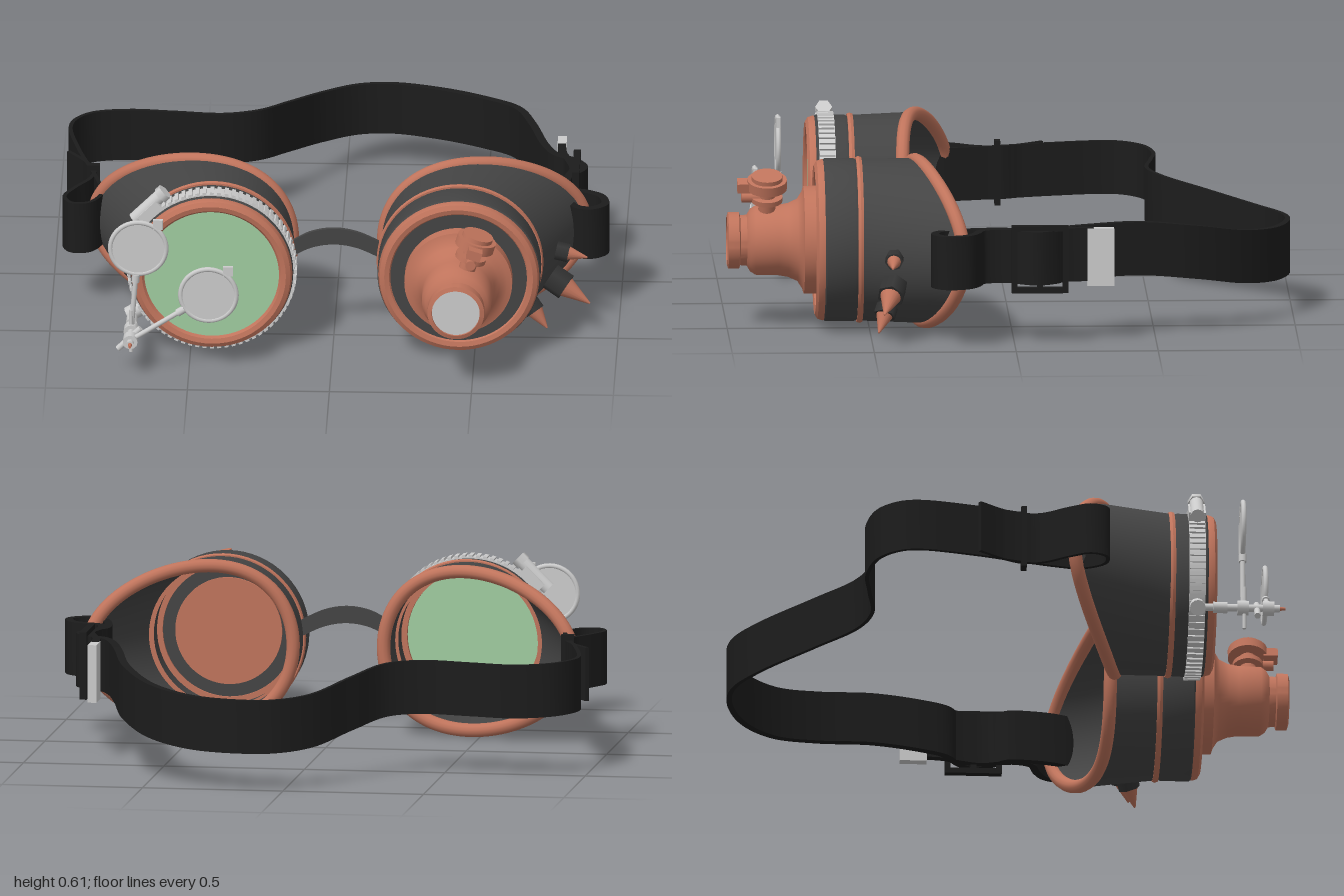
import * as THREE from 'three';
import { toCreasedNormals } from 'three/addons/utils/BufferGeometryUtils.js';

const V = (x, y, z) => new THREE.Vector3(x, y, z);
const mat = (color) => new THREE.MeshStandardMaterial({ color, side: THREE.DoubleSide });
const COPPER = mat(0xc0745c), LEATHER = mat(0x444444), STRAP = mat(0x1c1c1c);
const GLASS = mat(0xa0cda0), METAL = mat(0xcccccc), DARK = mat(0x333333);
const CY = 0.315; // height of the lens axis

function add(parent, name, geo, material, pos) {
  const m = new THREE.Mesh(geo, material);
  m.name = name;
  if (pos) m.position.copy(pos);
  parent.add(m);
  return m;
}

// turned part around the z axis; points are [radius, z]
function turned(points, segs = 64) {
  const g = new THREE.LatheGeometry(points.map(([r, z]) => new THREE.Vector2(r, z)), segs);
  return toCreasedNormals(g.rotateX(Math.PI / 2), 0.6);
}

// cylinder along z
const disc = (r, h, segs = 48) => new THREE.CylinderGeometry(r, r, h, segs).rotateX(Math.PI / 2);

// cylinder or cone between two points
function rod(parent, name, a, b, r0, r1, material, segs = 12) {
  const d = b.clone().sub(a);
  const m = add(parent, name, new THREE.CylinderGeometry(r1, r0, d.length(), segs), material,
    a.clone().add(b).multiplyScalar(0.5));
  m.quaternion.setFromUnitVectors(V(0, 1, 0), d.normalize());
  return m;
}

// skin over closed cross-sections
function loft(rings, capped, crease = 0.6) {
  const n = rings[0].length, idx = [];
  for (let i = 0; i < rings.length - 1; i++)
    for (let j = 0; j < n; j++) {
      const a = i * n + j, b = i * n + (j + 1) % n;
      idx.push(a, b, a + n, b, b + n, a + n);
    }
  if (capped) {
    const e = (rings.length - 1) * n;
    for (let j = 1; j < n - 1; j++) idx.push(0, j + 1, j, e, e + j, e + j + 1);
  }
  const g = new THREE.BufferGeometry().setFromPoints(rings.flat());
  g.setIndex(idx);
  return toCreasedNormals(g, crease);
}

// upright band following a path
function ribbon(points, height, thickness, steps) {
  const curve = new THREE.CatmullRomCurve3(points);
  const rings = [];
  for (let i = 0; i <= steps; i++) {
    const u = i / steps, p = curve.getPointAt(u), t = curve.getTangentAt(u);
    const side = V(-t.z, 0, t.x).normalize().multiplyScalar(thickness(p) / 2);
    const up = V(0, height / 2, 0);
    rings.push([
      p.clone().add(side).add(up), p.clone().sub(side).add(up),
      p.clone().sub(side).sub(up), p.clone().add(side).sub(up)]);
  }
  return loft(rings, true);
}

// egg-shaped face rim, swept back towards the temple
function rimPoint(a, s, inset = 0) {
  const t = s * a, c = Math.cos(t), sn = Math.sin(t);
  const x = 0.0775 + (0.3575 - inset) * c - 0.05 * sn * sn;
  return V(s * x, (0.288 - inset) * sn, 0.36 - 0.195 * ((x + 0.3) / 0.755) ** 2);
}

// leather cup, barrel and copper rings shared by both eyes
function eyecup(name, s) {
  const g = new THREE.Group();
  g.name = name;
  g.position.set(0.01 + s * 0.435, CY, 0);
  const N = 72, circle = (r, z) => (a) => V(r * Math.cos(s * a) * s, r * Math.sin(s * a), z);
  const section = (f) => Array.from({ length: N }, (_, j) => f(j / N * Math.PI * 2));
  const front = circle(0.285, 0.54), back = circle(0.258, 0.54);
  const blend = (f, inset, k) => section((a) => f(a).lerp(rimPoint(a, s, inset), k));
  const K = [0, 0.25, 0.5, 0.75, 1];
  add(g, 'leatherCup', loft([
    ...K.map((k) => blend(front, 0, k)),
    ...K.slice().reverse().map((k) => blend(back, 0.022, k))], false), LEATHER);
  const rim = new THREE.CatmullRomCurve3(section((a) => rimPoint(a, s, 0.006)), true);
  add(g, 'paddedRim', new THREE.TubeGeometry(rim, 120, 0.024, 12, true), COPPER);
  add(g, 'seamRing', turned([[0.25, 0.525], [0.29, 0.525], [0.294, 0.535], [0.29, 0.545], [0.25, 0.545]]), COPPER);
  add(g, 'barrel', turned([[0.255, 0.54], [0.283, 0.545], [0.287, 0.555], [0.287, 0.655],
    [0.28, 0.663], [0.255, 0.663], [0.255, 0.54]]), LEATHER);
  add(g, 'frontRing', turned([[0.235, 0.65], [0.28, 0.65], [0.284, 0.665], [0.278, 0.683],
    [0.262, 0.692], [0.245, 0.688], [0.235, 0.675], [0.235, 0.65]]), COPPER);
  return g;
}

// ridged clamp and two swinging magnifiers
function magnifiers(parent) {
  const g = new THREE.Group();
  g.name = 'magnifierRig';
  parent.add(g);
  const cx = -0.425;
  add(g, 'clampBand', turned([[0.285, 0.592], [0.292, 0.592], [0.292, 0.65], [0.285, 0.65]]), METAL, V(cx, CY, 0));
  const teeth = 72;
  for (let i = 0; i < teeth; i++) {
    const a = i / teeth * Math.PI * 2;
    add(g, 'clampRidge', new THREE.BoxGeometry(0.01, 0.014, 0.056), METAL,
      V(cx + 0.294 * Math.cos(a), CY + 0.294 * Math.sin(a), 0.621)).rotation.z = a;
  }
  // worm-screw housing, tangent to the band
  const h = new THREE.Group();
  h.name = 'clampScrew';
  h.position.set(cx - 0.215, CY + 0.215, 0.621);
  h.rotation.z = Math.PI / 4;
  add(h, 'screwHousing', new THREE.BoxGeometry(0.09, 0.045, 0.06), METAL);
  add(h, 'screwBarrel', new THREE.CylinderGeometry(0.024, 0.024, 0.13, 16).rotateZ(Math.PI / 2), METAL, V(0, 0.018, 0));
  add(h, 'screwHead', new THREE.CylinderGeometry(0.03, 0.03, 0.025, 6).rotateZ(Math.PI / 2), METAL, V(0.075, 0.018, 0));
  g.add(h);
  // pivot post and bracket
  const px = -0.705, py = 0.14;
  rod(g, 'bracket', V(-0.655, 0.17, 0.621), V(px - 0.015, py - 0.01, 0.621), 0.028, 0.028, METAL);
  rod(g, 'pivotPost', V(px, py, 0.6), V(px, py, 0.91), 0.013, 0.013, METAL);
  rod(g, 'postTip', V(px, py, 0.905), V(px, py, 0.93), 0.008, 0.005, COPPER);
  for (const [z, r, l] of [[0.7, 0.02, 0.05], [0.78, 0.026, 0.04], [0.87, 0.026, 0.04]])
    add(g, 'pivotCollar', disc(r, l, 12), METAL, V(px, py, z));
  rod(g, 'wingNut', V(px - 0.045, py - 0.05, 0.83), V(px + 0.035, py + 0.03, 0.83), 0.011, 0.011, METAL);
  rod(g, 'stopPin', V(px, 0.06, 0.785), V(px, 0.22, 0.785), 0.007, 0.007, METAL);
  // lenses on their arms
  for (const [x, y, z] of [[-0.68, 0.455, 0.78], [-0.43, 0.318, 0.87]]) {
    const c = V(x, y, z), p = V(px, py, z), d = c.clone().sub(p).normalize();
    add(g, 'magnifierLens', disc(0.096, 0.012), METAL, c);
    add(g, 'magnifierRim', new THREE.TorusGeometry(0.098, 0.009, 8, 48), METAL, c);
    const edge = c.clone().addScaledVector(d, -0.1);
    rod(g, 'magnifierArm', p, edge, 0.009, 0.009, METAL);
    rod(g, 'armSocket', edge.clone().addScaledVector(d, -0.03), edge, 0.014, 0.014, METAL);
    add(g, 'rimTab', new THREE.BoxGeometry(0.035, 0.035, 0.015), METAL, c.clone().addScaledVector(V(0.6, 0.8, 0), 0.115));
  }
}

// copper scope with valve
function scope(parent) {
  const g = new THREE.Group();
  g.name = 'scope';
  g.position.set(0.445, CY, 0);
  parent.add(g);
  add(g, 'facePlate', turned([[0.15, 0.66], [0.245, 0.66], [0.245, 0.682], [0.15, 0.682]]), LEATHER);
  add(g, 'scopeBody', turned([[0, 0.65], [0.19, 0.65], [0.19, 0.73], [0.172, 0.735], [0.145, 0.752],
    [0.13, 0.785], [0.124, 0.82], [0.122, 0.9], [0.11, 0.918], [0.09, 0.93], [0.088, 0.953], [0.1, 0.957],
    [0.1, 0.995], [0.085, 1.0], [0.085, 0.985], [0, 0.985]]), COPPER);
  add(g, 'scopeLens', disc(0.084, 0.012), METAL, V(0, 0, 0.988));
  const v = new THREE.Group();
  v.name = 'valve';
  v.position.z = 0.86;
  v.rotation.z = -0.3;
  for (const [name, r, h, y] of [['valveStem', 0.03, 0.12, 0.15], ['valveFlange', 0.055, 0.018, 0.165],
    ['valveWheel', 0.07, 0.035, 0.222], ['valveCap', 0.055, 0.016, 0.247]])
    add(v, name, new THREE.CylinderGeometry(r, r, h, 24), COPPER, V(0, y, 0));
  add(v, 'valveHandle', new THREE.BoxGeometry(0.05, 0.035, 0.05), COPPER, V(0, 0.215, 0.08));
  add(v, 'valveOutlet', disc(0.018, 0.08, 12), COPPER, V(0, 0.17, 0.05));
  g.add(v);
}

export function createModel() {
  const model = new THREE.Group();
  model.name = 'goggles';

  const right = eyecup('rightEyecup', -1), left = eyecup('leftEyecup', 1);
  model.add(right, left);
  add(right, 'greenLens', disc(0.24, 0.012, 64), GLASS, V(0, 0, 0.672));
  magnifiers(model);
  scope(model);

  // spikes on hexagonal nuts
  for (const [b, t, r] of [
    [V(0.78, 0.31, 0.42), V(0.89, 0.288, 0.43), 0.025],
    [V(0.76, 0.21, 0.42), V(0.9, 0.125, 0.46), 0.038],
    [V(0.68, 0.125, 0.44), V(0.75, 0.035, 0.475), 0.03]]) {
    const at = (k) => b.clone().lerp(t, k);
    rod(model, 'spikeNut', at(0), at(0.4), r * 1.3, r * 1.3, DARK, 6);
    rod(model, 'spike', at(0.38), t, r, 0.003, COPPER, 16);
  }

  // nose bridge
  const arch = [[-0.16, 0.345], [-0.08, 0.388], [0, 0.402], [0.08, 0.39], [0.18, 0.345]];
  add(model, 'noseBridge', ribbon(arch.map(([x, y]) => V(x, y, 0.53)), 0.06, () => 0.014, 30), LEATHER);

  // head strap, looped through both cups; it sags at the back
  const path = [[-0.955, -0.16], [-0.89, -0.07], [-0.86, 0], [-0.87, 0.07], [-0.925, 0.16], [-0.957, 0.235],
    [-0.93, 0.29], [-0.87, 0.285], [-0.825, 0.2], [-0.835, 0.13], [-0.86, 0.03], [-0.92, -0.18], [-0.955, -0.37],
    [-0.94, -0.44], [-0.88, -0.51], [-0.75, -0.545], [-0.6, -0.53], [-0.42, -0.512], [-0.3, -0.56], [-0.2, -0.7],
    [-0.08, -0.88], [0.04, -0.97], [0.16, -0.985], [0.34, -0.93], [0.5, -0.81], [0.61, -0.65], [0.67, -0.45],
    [0.72, -0.27], [0.76, -0.19], [0.83, -0.14], [0.862, -0.08], [0.83, -0.02], [0.79, 0.03], [0.79, 0.1],
    [0.81, 0.2], [0.85, 0.27], [0.9, 0.28], [0.945, 0.24], [0.93, 0.17], [0.88, 0.135], [0.825, 0.115],
    [0.805, 0.06], [0.81, 0], [0.825, -0.06], [0.81, -0.13], [0.785, -0.2], [0.778, -0.28]];
  const sag = (z) => 0.318 - 0.085 * THREE.MathUtils.smoothstep(-z, 0.45, 1);
  const thick = (p) => 0.014 + 0.014 * THREE.MathUtils.smoothstep(p.x, -0.1, 0.5);
  add(model, 'headStrap', ribbon(path.map(([x, z]) => V(x, sag(z), z)), 0.19, thick, 420), STRAP);

  // buckle, keeper and strap tip
  for (const z of [-0.18, -0.09, 0])
    add(model, 'buckleBar', new THREE.BoxGeometry(0.025, 0.24, 0.02), STRAP, V(0.835, 0.31, z));
  for (const y of [0.2, 0.42])
    add(model, 'buckleRail', new THREE.BoxGeometry(0.025, 0.02, 0.2), STRAP, V(0.835, y, -0.09));
  add(model, 'strapKeeper', new THREE.BoxGeometry(0.045, 0.23, 0.02), STRAP, V(-0.862, 0.318, 0.0));
  add(model, 'strapTip', new THREE.BoxGeometry(0.032, 0.205, 0.095), METAL, V(0.778, 0.308, -0.305));
  return model;
}
